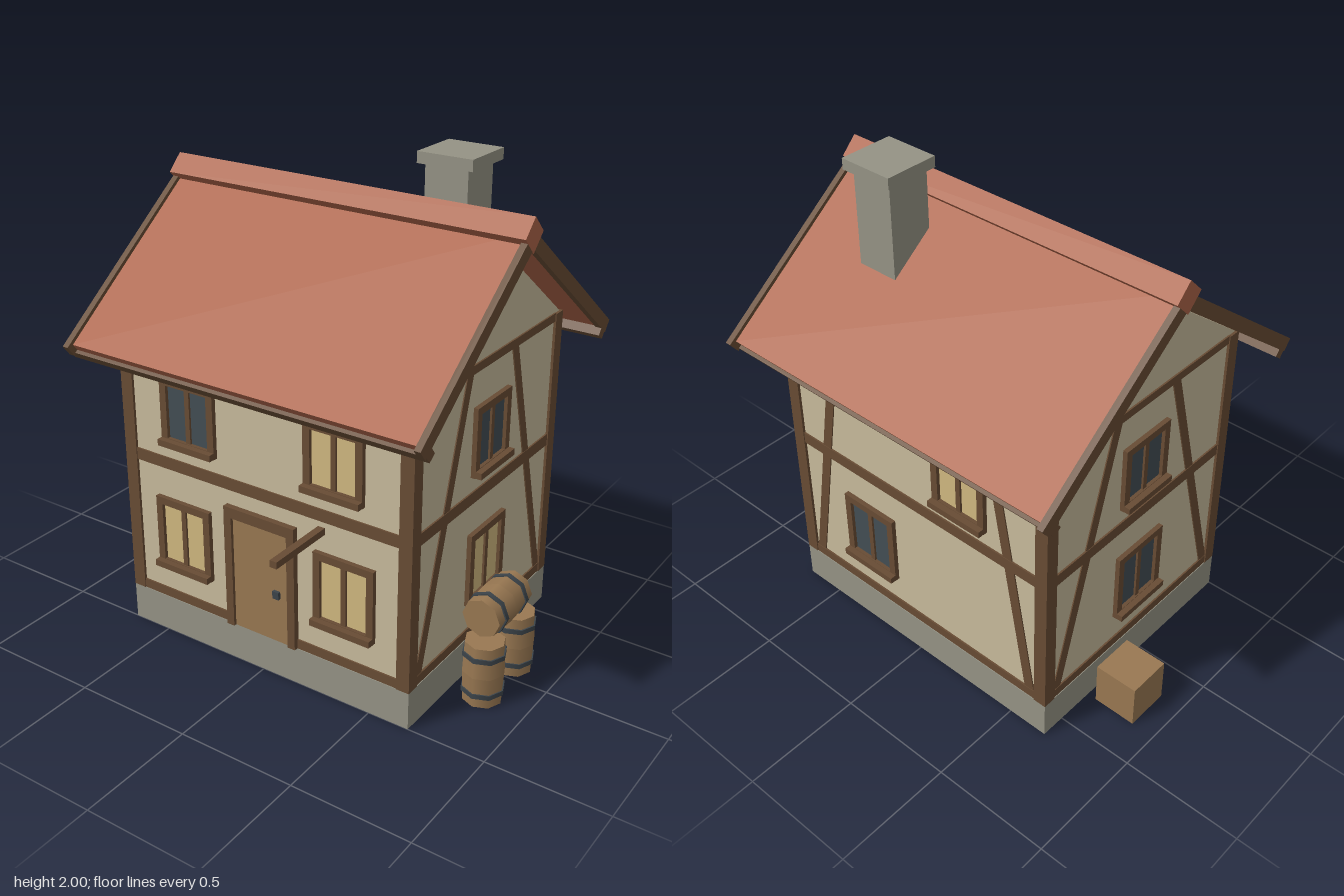
import * as THREE from 'three';

const mat = (name, color) => {
  const m = new THREE.MeshStandardMaterial({ color });
  m.name = name;
  return m;
};

export function createModel() {
  const plaster = mat('plaster', 0xc8bb9c);
  const timber = mat('dark timber', 0x684c34);
  const lightWood = mat('light wood', 0x997852);
  const tile = mat('roof tile', 0xac6448);
  const stone = mat('stone', 0x959385);
  const litGlass = mat('lit glass', 0xd0b880);
  const darkGlass = mat('dark glass', 0x434e54);
  const iron = mat('iron', 0x3c444a);

  const model = new THREE.Group();
  model.name = 'timberHouse';

  const add = (parent, name, geo, material, x = 0, y = 0, z = 0) => {
    const m = new THREE.Mesh(geo, material);
    m.name = name;
    m.position.set(x, y, z);
    parent.add(m);
    return m;
  };
  // Box given by its minimum and maximum corners
  const box = (parent, name, material, x0, x1, y0, y1, z0, z1) =>
    add(parent, name, new THREE.BoxGeometry(x1 - x0, y1 - y0, z1 - z0), material,
      (x0 + x1) / 2, (y0 + y1) / 2, (z0 + z1) / 2);
  const group = (parent, name, x = 0, y = 0, z = 0) => {
    const g = new THREE.Group();
    g.name = name;
    g.position.set(x, y, z);
    parent.add(g);
    return g;
  };
  const polygon = (points) => new THREE.Shape(points.map(([x, y]) => new THREE.Vector2(x, y)));

  // House body, centred under the ridge
  const W = 0.675, D = 0.5525, inset = 0.01;
  const house = group(model, 'house', 0, 0, -0.0525);
  box(house, 'foundation', stone, -W, W, 0, 0.16, -D, D);
  box(house, 'plasterWalls', plaster, -W + inset, W - inset, 0.16, 1.33, -D + inset, D - inset);
  const gable = new THREE.ExtrudeGeometry(polygon([[-0.545, 1.33], [0.545, 1.33], [0, 1.745]]),
    { depth: 2 * (W - inset), bevelEnabled: false });
  gable.rotateY(Math.PI / 2);
  add(house, 'gables', gable, plaster, -(W - inset));
  for (const sx of [-1, 1]) for (const sz of [-1, 1])
    add(house, 'cornerPost', new THREE.BoxGeometry(0.057, 1.172, 0.057), timber,
      sx * (W - 0.0275), 0.746, sz * (D - 0.0275));

  // Wall faces: local +z points outward, origin on the plaster surface
  const wall = (name, dist, angle, half) => {
    const g = group(house, name, Math.sin(angle) * dist, 0, Math.cos(angle) * dist);
    g.rotation.y = angle;
    for (const [y0, y1] of [[0.16, 0.2], [0.76, 0.81], [1.3, 1.335]])
      box(g, 'horizontalBeam', timber, -half + 0.05, half - 0.05, y0, y1, -0.02, 0.007);
    return g;
  };
  const front = wall('frontWall', D - inset, 0, W);
  const back = wall('backWall', D - inset, Math.PI, W);
  const left = wall('leftWall', W - inset, Math.PI / 2, D);
  const right = wall('rightWall', W - inset, -Math.PI / 2, D);

  // Slanted braces running through both storeys
  const braces = (parent, bottom, top) => {
    for (const s of [-1, 1]) {
      const b = s * bottom, t = s * top, h = 0.0225;
      const geo = new THREE.ExtrudeGeometry(
        polygon([[b - h, 0.2], [b + h, 0.2], [t + h, 1.3], [t - h, 1.3]]),
        { depth: 0.015, bevelEnabled: false });
      add(parent, 'brace', geo, timber, 0, 0, -0.01);
    }
  };
  braces(left, 0.478, 0.172);
  braces(right, 0.478, 0.172);
  braces(back, 0.59, 0.395);

  // Two-pane window with frame, mullion and sill
  const windowAt = (parent, x, upper, glass) => {
    const w = upper ? 0.13 : 0.135, y0 = upper ? 0.875 : 0.317, y1 = upper ? 1.16 : 0.63;
    const f = 0.031, out = 0.02;
    const g = group(parent, 'window', x);
    box(g, 'panes', glass, -w + 0.02, w - 0.02, y0 + 0.02, y1 - 0.02, 0, 0.005);
    box(g, 'frameTop', timber, -w, w, y1 - f, y1, -0.01, out);
    box(g, 'frameBottom', timber, -w, w, y0, y0 + f, -0.01, out);
    for (const s of [-1, 1])
      add(g, 'frameSide', new THREE.BoxGeometry(f, y1 - y0 - 2 * f, 0.03), timber,
        s * (w - f / 2), (y0 + y1) / 2, 0.005);
    box(g, 'mullion', timber, -0.011, 0.011, y0 + f, y1 - f, -0.01, 0.014);
    box(g, 'sill', timber, -w, w, y0 + 0.002, y0 + 0.029, 0, 0.045);
  };
  windowAt(front, -0.34, true, darkGlass);
  windowAt(front, 0.338, true, litGlass);
  windowAt(front, -0.384, false, litGlass);
  windowAt(front, 0.384, false, litGlass);
  windowAt(left, 0, true, darkGlass);
  windowAt(left, 0, false, litGlass);
  windowAt(right, 0, true, darkGlass);
  windowAt(right, 0, false, darkGlass);
  windowAt(back, 0.25, true, litGlass);
  windowAt(back, -0.25, false, darkGlass);

  // Front door and the bracket beside it
  box(front, 'door', lightWood, -0.135, 0.132, 0.16, 0.65, -0.01, 0.012);
  for (const x of [-0.151, 0.148])
    add(front, 'doorJamb', new THREE.BoxGeometry(0.035, 0.49, 0.04), timber, x, 0.405, 0.005);
  box(front, 'doorLintel', timber, -0.168, 0.165, 0.65, 0.695, -0.01, 0.025);
  box(front, 'doorKnob', iron, 0.061, 0.09, 0.36, 0.392, 0.01, 0.025);
  box(front, 'signBracket', timber, 0.262, 0.292, 0.705, 0.733, -0.02, 0.295);

  // Roof: each slope is built in a frame running down from the ridge
  const pitch = Math.atan(0.764);
  for (const side of [0, Math.PI]) {
    const half = group(house, 'roofHalf', 0, 1.82, 0);
    half.rotation.order = 'YXZ';
    half.rotation.set(pitch, side, 0);
    box(half, 'tileSlab', tile, -0.776, 0.776, -0.05, -0.015, 0, 0.893);
    box(half, 'eaveBoard', timber, -0.8, 0.8, -0.087, -0.049, 0.868, 0.908);
    for (const s of [-1, 1])
      add(half, 'vergeBoard', new THREE.BoxGeometry(0.026, 0.055, 0.918), timber,
        s * 0.787, -0.0275, 0.459);
  }
  const ridge = add(house, 'ridgeCap', new THREE.BoxGeometry(1.602, 0.095, 0.095), tile, 0, 1.802, 0);
  ridge.rotation.x = Math.PI / 4;

  // Chimney
  box(model, 'chimneyStack', stone, 0.28, 0.462, 1.5, 1.96, -0.363, -0.177);
  box(model, 'chimneyCap', stone, 0.255, 0.49, 1.955, 2, -0.389, -0.157);

  // Barrels, eight sided with two iron hoops
  const barrel = (x, y, z) => {
    const g = group(model, 'barrel', x, y, z);
    const h = 0.1315;
    [[0.08, 0.086, -1], [0.086, 0.08, 1]].forEach(([top, bottom, s]) => {
      const geo = s < 0 ? new THREE.CylinderGeometry(bottom, top, h, 8) : new THREE.CylinderGeometry(bottom, top, h, 8);
      add(g, 'barrelHalf', geo, lightWood, 0, s * h / 2, 0);
    });
    for (const s of [-1, 1])
      add(g, 'hoop', new THREE.CylinderGeometry(0.088, 0.088, 0.02, 8), iron, 0, s * 0.08, 0);
    return g;
  };
  barrel(0.805, 0.1315, 0.163);
  barrel(0.805, 0.1315, -0.084);
  barrel(0.787, 0.353, 0.04).rotation.x = Math.PI / 2;

  // Crate
  box(model, 'crate', lightWood, -0.9, -0.715, 0, 0.19, -0.338, -0.15);

  return model;
}
